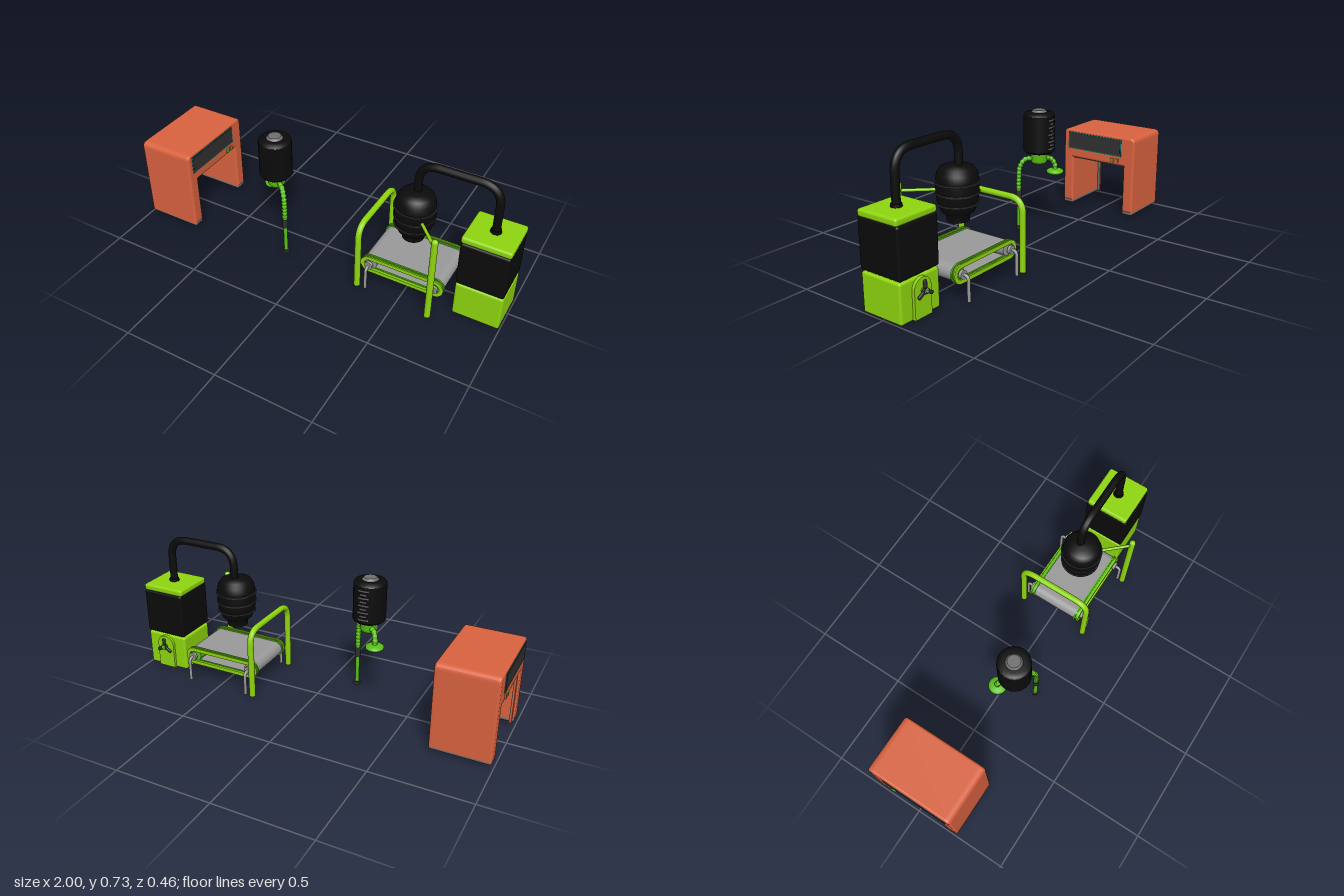
import * as THREE from 'three';
import { RoundedBoxGeometry } from 'three/addons/geometries/RoundedBoxGeometry.js';

const mat = (name, color) => {
  const m = new THREE.MeshStandardMaterial({ color });
  m.name = name;
  return m;
};
const V = (x, y, z) => new THREE.Vector3(x, y, z);

export function createModel() {
  const orange = mat('orange', 0xd9623f), lime = mat('lime', 0x8fd60f), green = mat('green', 0x58c014);
  const black = mat('black', 0x0b0b0b), dark = mat('charcoal', 0x303030), mid = mat('mid grey', 0x707070);
  const grey = mat('light grey', 0x9a9a9a), teal = mat('teal', 0x0f6a66);
  const model = new THREE.Group();

  const group = (name) => {
    const g = new THREE.Group();
    g.name = name;
    model.add(g);
    return g;
  };
  const add = (parent, name, geo, material, x = 0, y = 0, z = 0) => {
    const m = new THREE.Mesh(geo, material);
    m.name = name;
    m.position.set(x, y, z);
    parent.add(m);
    return m;
  };
  const box = (w, h, d, r = 0) => r ? new RoundedBoxGeometry(w, h, d, 3, r) : new THREE.BoxGeometry(w, h, d);
  const cyl = (r1, r2, h, n = 20) => new THREE.CylinderGeometry(r1, r2, h, n);
  const cylZ = (r, h, n = 24) => cyl(r, r, h, n).rotateX(Math.PI / 2);
  const lathe = (pts, n = 32) => new THREE.LatheGeometry(pts.map((p) => new THREE.Vector2(...p)), n);

  // Path through points with each inner corner rounded by a radius
  const roundedPath = (pts, r) => {
    const path = new THREE.CurvePath();
    let last = pts[0];
    for (let i = 1; i < pts.length - 1; i++) {
      const p = pts[i];
      const a = p.clone().add(pts[i - 1].clone().sub(p).setLength(r));
      const b = p.clone().add(pts[i + 1].clone().sub(p).setLength(r));
      path.add(new THREE.LineCurve3(last, a));
      path.add(new THREE.QuadraticBezierCurve3(a, p, b));
      last = b;
    }
    path.add(new THREE.LineCurve3(last, pts[pts.length - 1]));
    return path;
  };
  // Tube along a path, with flat caps
  const tube = (parent, name, path, r, material, segs = 48) => {
    add(parent, name, new THREE.TubeGeometry(path, segs, r, 12), material);
    [0, 1].forEach((t) => {
      const cap = add(parent, name + 'End', new THREE.CircleGeometry(r, 12), material);
      const p = path.getPointAt(t), d = path.getTangentAt(t).multiplyScalar(t ? 1 : -1);
      cap.position.copy(p);
      cap.lookAt(p.clone().add(d));
    });
  };

  // ---- Tunnel hood, open at both ends along x ----
  const hood = group('tunnelHood');
  const arch = (hw, top, ihw, itop, y0, r, depth, bevel) => {
    const s = new THREE.Shape();
    s.moveTo(-hw, y0);
    s.lineTo(-ihw, y0);
    s.lineTo(-ihw, itop);
    s.lineTo(ihw, itop);
    s.lineTo(ihw, y0);
    s.lineTo(hw, y0);
    s.lineTo(hw, top - r);
    s.quadraticCurveTo(hw, top, hw - r, top);
    s.lineTo(-hw + r, top);
    s.quadraticCurveTo(-hw, top, -hw, top - r);
    s.closePath();
    return new THREE.ExtrudeGeometry(s, {
      depth: depth - 2 * bevel, bevelEnabled: bevel > 0, bevelSize: bevel, bevelThickness: bevel,
      bevelOffset: -bevel, bevelSegments: 3, curveSegments: 6,
    }).translate(0, 0, -(depth - 2 * bevel) / 2).rotateY(Math.PI / 2);
  };
  const hx = -0.84;
  add(hood, 'hoodShell', arch(0.231, 0.467, 0.167, 0.3, 0.03, 0.03, 0.302, 0.012), orange, hx);
  add(hood, 'backLip', arch(0.175, 0.31, 0.15, 0.291, 0.02, 0.002, 0.008, 0), orange, -0.978);
  add(hood, 'backLipLining', arch(0.175, 0.31, 0.15, 0.291, 0.02, 0.002, 0.004, 0), mid, -0.972);
  add(hood, 'tunnelCeiling', box(0.276, 0.006, 0.332), mid, hx, 0.298, 0);
  for (const s of [-1, 1]) {
    add(hood, 'hoodFoot', box(0.3, 0.024, 0.064, 0.01), mid, hx, 0.027, s * 0.198);
    // Control panel and buttons on each open end
    const x = hx + s * 0.151;
    add(hood, 'panelFrame', box(0.004, 0.1, 0.35), teal, x, 0.402, 0.025);
    add(hood, 'panel', box(0.008, 0.088, 0.338), dark, x, 0.402, 0.025);
    add(hood, 'greenButton', box(0.018, 0.022, 0.018), green, x, 0.327, -0.098);
    add(hood, 'orangeButton', box(0.014, 0.022, 0.018), orange, x, 0.327, -0.126);
  }

  // ---- Hanging canister with hose and disc ----
  const can = group('canister');
  const cx = -0.24, cz = 0.093;
  add(can, 'canisterBody', lathe([[0, 0.445], [0.074, 0.445], [0.083, 0.455], [0.083, 0.455], [0.083, 0.645],
    [0.083, 0.645], [0.076, 0.656], [0.055, 0.662], [0, 0.662]], 20), black, cx, 0, cz);
  add(can, 'canisterCap', cyl(0.032, 0.042, 0.012), mid, cx, 0.667, cz);
  for (let i = 0; i < 9; i++) {
    const w = i % 2 ? 0.4 : 0.65;
    add(can, 'levelMark', new THREE.CylinderGeometry(0.086, 0.086, 0.006, 6, 1, false, Math.PI - w / 2, w),
      mid, cx, 0.475 + i * 0.019, cz);
  }
  add(can, 'canisterNeck', lathe([[0, 0.385], [0.038, 0.385], [0.045, 0.4], [0.043, 0.43], [0.05, 0.448]], 20), green, cx, 0, cz);
  // Beaded bendy arm
  const beaded = (name, pts, r, n) => {
    const c = new THREE.CatmullRomCurve3(pts);
    tube(can, name, c, r, green, 32);
    for (let i = 0; i <= n; i++) {
      const p = c.getPointAt(i / n);
      add(can, name + 'Bead', new THREE.SphereGeometry(r * 1.25, 10, 8), green, p.x, p.y, p.z);
    }
  };
  beaded('hose', [V(-0.21, 0.412, 0.115), V(-0.178, 0.408, 0.14), V(-0.158, 0.37, 0.158), V(-0.153, 0.3, 0.162),
    V(-0.153, 0.235, 0.162)], 0.0115, 11);
  beaded('discArm', [V(-0.255, 0.41, 0.075), V(-0.285, 0.405, 0.05), V(-0.3, 0.375, 0.032), V(-0.3, 0.345, 0.03)], 0.012, 5);
  add(can, 'disc', lathe([[0, 0.322], [0.038, 0.322], [0.046, 0.33], [0.046, 0.338], [0.034, 0.346], [0, 0.352]], 24),
    green, -0.3, 0, 0.03);
  add(can, 'hoseConnector', cyl(0.015, 0.014, 0.055, 12), dark, -0.153, 0.213, 0.162);
  add(can, 'nozzleTube', cyl(0.01, 0.01, 0.16, 12), green, -0.153, 0.11, 0.162);
  add(can, 'nozzleTip', cyl(0.018, 0.018, 0.018, 12), dark, -0.153, 0.029, 0.16);

  // ---- Conveyor ----
  const conv = group('conveyor');
  const x0 = 0.325, x1 = 0.668, cy = 0.134;
  const stadium = (Type, r) => {
    const s = new Type();
    s.absarc(x1, cy, r, -Math.PI / 2, Math.PI / 2, false);
    s.absarc(x0, cy, r, Math.PI / 2, Math.PI * 1.5, false);
    s.closePath();
    return s;
  };
  const loop = (outer, inner, depth) => {
    const s = stadium(THREE.Shape, outer);
    s.holes.push(stadium(THREE.Path, inner));
    return new THREE.ExtrudeGeometry(s, { depth, bevelEnabled: false, curveSegments: 16 }).translate(0, 0, -depth / 2);
  };
  add(conv, 'belt', loop(0.04, 0.034, 0.26), grey);
  for (const s of [-1, 1]) {
    add(conv, 'railCore', loop(0.041, 0.03, 0.024), green, 0, 0, s * 0.138);
    add(conv, 'railOuterFlange', loop(0.047, 0.027, 0.008), lime, 0, 0, s * 0.147);
    add(conv, 'railInnerFlange', loop(0.047, 0.027, 0.008), green, 0, 0, s * 0.129);
    for (const x of [x0, x1]) {
      add(conv, 'wheelHub', cylZ(0.021, 0.016), grey, x, cy, s * 0.156);
      tube(conv, 'leg', roundedPath([V(x, cy, s * 0.14), V(x, cy, s * 0.189), V(x, 0.012, s * 0.189)], 0.022), 0.008, grey, 24);
    }
  }
  for (const x of [x0, x1]) add(conv, 'roller', cylZ(0.034, 0.27), x === x0 ? grey : green, x, cy, 0);

  // Green arch over the inlet end, and post holding the drum
  tube(conv, 'archFrame', roundedPath([V(0.281, 0.015, 0.191), V(0.281, 0.38, 0.191), V(0.281, 0.38, -0.191),
    V(0.281, 0.015, -0.191)], 0.075), 0.016, lime, 96);
  add(conv, 'drumPost', cyl(0.016, 0.016, 0.458), lime, 0.672, 0.244, 0.216);
  add(conv, 'drumPostTop', new THREE.SphereGeometry(0.016, 16, 10), lime, 0.672, 0.472, 0.216);
  tube(conv, 'drumBracket', new THREE.LineCurve3(V(0.672, 0.445, 0.216), V(0.55, 0.445, 0.085)), 0.008, lime, 2);

  // ---- Drum and feed pipe ----
  const drum = group('drum');
  const dx = 0.49, dz = 0.022;
  add(drum, 'drumBody', lathe([[0, 0.295], [0.054, 0.295], [0.054, 0.295], [0.054, 0.325], [0.078, 0.342], [0.094, 0.38],
    [0.1, 0.43], [0.1, 0.49], [0.094, 0.525], [0.078, 0.55], [0.045, 0.563], [0, 0.566]]), black, dx, 0, dz);
  [[0.098, 0.382], [0.102, 0.432], [0.104, 0.482]].forEach(([r, y]) =>
    add(drum, 'drumBand', cyl(r + 0.002, r + 0.002, 0.008, 32), dark, dx, y, dz));
  tube(drum, 'feedPipe', roundedPath([V(dx, 0.55, 0.01), V(dx, 0.715, 0.01), V(0.88, 0.715, 0.01), V(0.88, 0.47, 0.01)], 0.1),
    0.02, black, 96);
  add(drum, 'pipeCollar', cyl(0.025, 0.027, 0.016), black, 0.88, 0.48, 0.01);

  // ---- Power unit ----
  const unit = group('powerUnit');
  const bx = 0.877, bz = 0.01;
  add(unit, 'unitBase', box(0.236, 0.192, 0.23, 0.012), lime, bx, 0.098, bz);
  add(unit, 'unitBody', box(0.236, 0.242, 0.238, 0.012), black, bx, 0.32, bz);
  add(unit, 'unitLid', box(0.24, 0.036, 0.23, 0.012), lime, bx, 0.456, bz);
  const door = new THREE.Shape();
  door.moveTo(-0.05, 0.006);
  door.lineTo(0.05, 0.006);
  door.lineTo(0.05, 0.14);
  door.absarc(0, 0.14, 0.05, 0, Math.PI, false);
  door.closePath();
  add(unit, 'valvePlate', new THREE.ExtrudeGeometry(door, { depth: 0.02, bevelEnabled: false }), lime, bx, 0, -0.12);
  // Three-spoked valve handle
  add(unit, 'valveStem', cylZ(0.012, 0.03), green, bx, 0.132, -0.127);
  add(unit, 'valveHub', cylZ(0.015, 0.016), dark, bx, 0.132, -0.134);
  for (let i = 0; i < 3; i++) {
    const a = Math.PI / 2 + (i * Math.PI * 2) / 3;
    const spoke = add(unit, 'valveSpoke', box(0.046, 0.018, 0.012, 0.005), dark,
      bx + Math.cos(a) * 0.026, 0.132 + Math.sin(a) * 0.026, -0.134);
    spoke.rotation.z = a;
  }
  return model;
}
